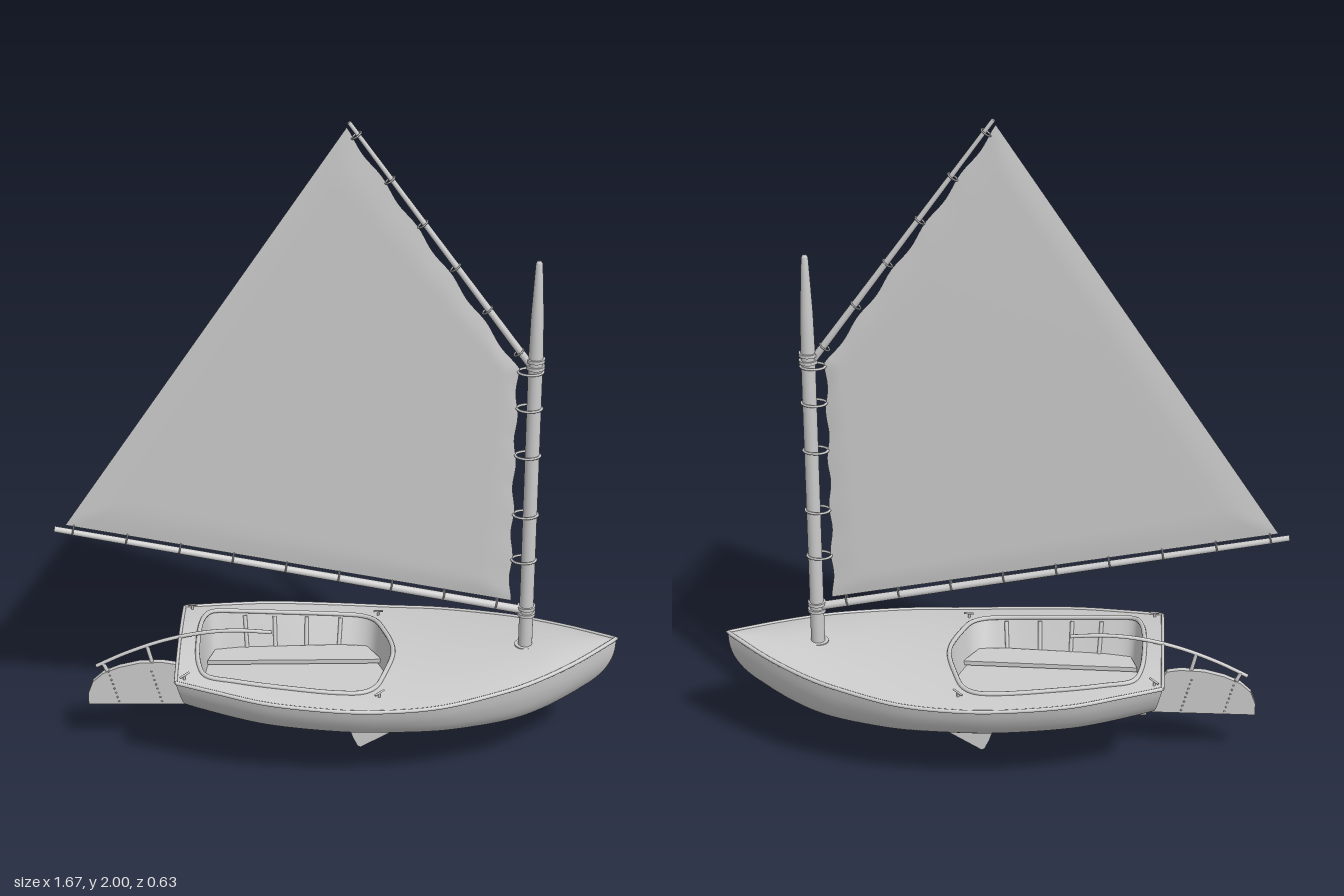
import * as THREE from 'three';

const V2 = (x, y) => new THREE.Vector2(x, y);
const V3 = (x, y, z) => new THREE.Vector3(x, y, z);
const clamp = THREE.MathUtils.clamp;
const material = new THREE.MeshStandardMaterial({ color: 0xcccccc, side: THREE.DoubleSide });

// Hull stations: x, half beam, sheer height, keel height
const stations = [
  [-0.475, 0.222, 0.355, 0.205], [-0.35, 0.258, 0.343, 0.185], [-0.2, 0.295, 0.328, 0.163],
  [0, 0.31, 0.314, 0.147], [0.15, 0.305, 0.31, 0.142], [0.3, 0.287, 0.315, 0.138],
  [0.45, 0.24, 0.327, 0.137], [0.57, 0.188, 0.339, 0.14], [0.7, 0.105, 0.356, 0.147], [0.83, 0, 0.378, 0.15],
];
const plan = new THREE.SplineCurve(stations.map((s) => V2(s[0], s[1])));
const heights = new THREE.SplineCurve(stations.map((s) => V2(s[2], s[3])));
// Cross-section from keel to gunwale (half beam, height fractions)
const section = new THREE.SplineCurve(
  [[0, 0], [0.35, 0.03], [0.66, 0.2], [0.84, 0.42], [0.95, 0.72], [1, 1]].map((p) => V2(...p)));

function hullPoint(t, v) {
  const p = plan.getPoint(t), h = heights.getPoint(t), s = section.getPoint(v);
  const drop = Math.max(0, 1 - s.y);
  const bow = clamp((p.x - 0.3) / 0.53, 0, 1);
  const x = p.x + 0.03 * drop * Math.max(0, 1 - t * 8) - 0.2 * bow * bow * Math.pow(drop, 2.5);
  return V3(x, h.y + (h.x - h.y) * s.y, Math.max(0, p.y) * s.x);
}

// Height of the crowned deck at a point
function deckY(x, z) {
  let a = 0, b = 1;
  for (let i = 0; i < 24; i++) {
    const m = (a + b) / 2;
    if (plan.getPoint(m).x < x) a = m; else b = m;
  }
  const half = Math.max(plan.getPoint(a).y, 0.001);
  return heights.getPoint(a).x + 0.022 * Math.min(1, half / 0.15) * Math.max(0, 1 - (z / half) ** 2);
}

// Grid surface from a rule fn(u, v) -> Vector3
function surface(nu, nv, fn) {
  const pos = [], idx = [];
  for (let i = 0; i <= nu; i++) for (let j = 0; j <= nv; j++) pos.push(...fn(i / nu, j / nv).toArray());
  for (let i = 0; i < nu; i++) for (let j = 0; j < nv; j++) {
    const a = i * (nv + 1) + j, b = a + nv + 1;
    idx.push(a, b, a + 1, b, b + 1, a + 1);
  }
  const g = new THREE.BufferGeometry();
  g.setAttribute('position', new THREE.Float32BufferAttribute(pos, 3));
  g.setIndex(idx);
  g.computeVertexNormals();
  return g;
}

// Flat board in the x-y plane, centred on z = 0
function board(points, thickness) {
  const g = new THREE.ExtrudeGeometry(new THREE.Shape(points.map((p) => V2(...p))), { depth: thickness, bevelEnabled: false });
  return g.translate(0, 0, -thickness / 2);
}

const tube = (points, r, n = 40, closed = false) =>
  new THREE.TubeGeometry(new THREE.CatmullRomCurve3(points, closed), n, r, 8, closed);

export function createModel() {
  const root = new THREE.Group();
  const add = (name, geometry, parent = root) => {
    const m = new THREE.Mesh(geometry, material);
    m.name = name;
    parent.add(m);
    return m;
  };
  const rod = (name, a, b, r0, r1, parent = root) => {
    const m = add(name, new THREE.CylinderGeometry(r1, r0, a.distanceTo(b), 14), parent);
    m.position.copy(a).lerp(b, 0.5);
    m.quaternion.setFromUnitVectors(V3(0, 1, 0), b.clone().sub(a).normalize());
    return m;
  };
  const group = (name) => {
    const g = new THREE.Group();
    g.name = name;
    root.add(g);
    return g;
  };

  // Hull skin and transom
  add('hull', surface(60, 48, (t, w) => {
    const s = w * 2 - 1, p = hullPoint(t, Math.abs(s));
    return V3(p.x, p.y, s < 0 ? -p.z : p.z);
  }));
  add('transom', surface(16, 20, (v, w) => {
    const p = hullPoint(0, v), s = w * 2 - 1;
    return V3(p.x, p.y + 0.022 * v ** 4 * (1 - s * s), p.z * s);
  }));

  // Cockpit opening outline
  const halfOpening = [[-0.42, 0], [-0.41, 0.14], [-0.388, 0.188], [-0.3, 0.205], [-0.15, 0.22],
    [0, 0.229], [0.07, 0.223], [0.107, 0.198], [0.135, 0.13], [0.163, 0]];
  const opening = new THREE.CatmullRomCurve3([
    ...halfOpening.map(([x, z]) => V3(x, 0, z)),
    ...halfOpening.slice(1, -1).reverse().map(([x, z]) => V3(x, 0, -z)),
  ], true);
  const rim = opening.getPoints(160);
  const centreX = -0.13;
  const rimToward = (p) => {
    const dx = p.x - centreX, dz = p.z;
    for (let i = 0; i < 160; i++) {
      const a = rim[i], b = rim[i + 1];
      const ca = dx * a.z - dz * (a.x - centreX), cb = dx * b.z - dz * (b.x - centreX);
      if (ca * cb <= 0 && ca !== cb && dx * (a.x - centreX) + dz * a.z > 0) return a.clone().lerp(b, ca / (ca - cb));
    }
    return rim[0].clone();
  };

  // Deck between the opening and the gunwale
  const side = Array.from({ length: 61 }, (_, i) => hullPoint(i / 60, 1));
  const mirrored = side.map((p) => V3(p.x, p.y, -p.z)).reverse();
  const stern = Array.from({ length: 17 }, (_, i) => V3(-0.475, 0.355, side[0].z * (i / 8 - 1)));
  const outline = [...side, ...mirrored.slice(1), ...stern.slice(1)];
  const inner = outline.map(rimToward);
  add('deck', surface(outline.length - 1, 14, (u, v) => {
    const i = Math.round(u * (outline.length - 1));
    const p = inner[i].clone().lerp(outline[i], v);
    p.y = deckY(p.x, p.z);
    return p;
  }));
  add('gunwale', tube([...side, ...mirrored.slice(1)], 0.006, 160));
  add('transomCap', tube(stern.map((p) => V3(p.x, deckY(p.x, p.z), p.z)), 0.005, 30));

  // Cockpit: coaming, lining, floor, benches and ribs
  const cockpit = group('cockpit');
  add('coaming', tube(rim.slice(0, -1).map((p) => V3(p.x, deckY(p.x, p.z) + 0.003, p.z)), 0.007, 160, true), cockpit);
  const liningPoint = (p, v) => V3(
    centreX + (p.x - centreX) * (1 - 0.05 * v),
    THREE.MathUtils.lerp(deckY(p.x, p.z), 0.222, v), p.z * (1 - 0.2 * v));
  add('lining', surface(160, 4, (u, v) => liningPoint(rim[Math.round(u * 160)], v)), cockpit);
  const floorShape = new THREE.Shape(rim.slice(0, -1).map((p) => liningPoint(p, 1)).map((p) => V2(p.x, p.z)));
  add('floor', new THREE.ShapeGeometry(floorShape).rotateX(Math.PI / 2).translate(0, 0.222, 0), cockpit);
  for (const s of [1, -1]) {
    const bench = board([[-0.4, 0.088], [0.13, 0.1], [0.085, 0.18], [0, 0.187], [-0.3, 0.17], [-0.38, 0.155]]
      .map(([x, z]) => [x, z * s]), 0.014);
    add('bench', bench.rotateX(Math.PI / 2).translate(0, 0.236, 0), cockpit);
    for (const x of [-0.3, -0.2, -0.1, 0]) {
      const p = rimToward(V3(x, 0, 0.22 * s));
      rod('rib', liningPoint(p, 0.08), liningPoint(p, 0.95), 0.006, 0.006, cockpit);
    }
  }

  // Deck cleats
  for (const s of [1, -1]) for (const [x, z] of [[-0.45, 0.205], [0.12, 0.237]]) {
    const y = deckY(x, z), cleat = group('cleat');
    rod('cleatPost', V3(x, y - 0.004, z * s), V3(x, y + 0.012, z * s), 0.004, 0.004, cleat);
    rod('cleatBar', V3(x - 0.012, y + 0.009, (z + 0.008) * s), V3(x + 0.014, y + 0.019, (z - 0.008) * s), 0.003, 0.003, cleat);
  }

  // Keel and centreboard
  add('keel', board([[-0.43, 0.138], [-0.45, 0.21], [-0.3, 0.195], [0.1, 0.16], [0.46, 0.145], [0.4, 0.134], [0.1, 0.136]], 0.022));
  add('centreboard', board([[0.02, 0.16], [0.02, 0.125], [0.03, 0.075], [0.043, 0.035], [0.058, 0.004],
    [0.067, 0], [0.29, 0.132], [0.29, 0.16]], 0.03));

  // Rudder with rivet rows, and tiller
  const rudder = group('rudder');
  add('rudderBlade', board([[-0.448, 0.148], [-0.757, 0.148], [-0.757, 0.185], [-0.742, 0.225], [-0.71, 0.255],
    [-0.66, 0.277], [-0.6, 0.292], [-0.53, 0.295], [-0.49, 0.288], [-0.476, 0.268]], 0.018), rudder);
  for (const x of [-0.665, -0.535]) for (let i = 0; i < 8; i++) for (const s of [1, -1]) {
    const rivet = add('rivet', new THREE.SphereGeometry(0.003, 6, 4), rudder);
    rivet.position.set(x - i * 0.004, 0.158 + i * 0.015, 0.009 * s);
  }
  for (const y of [0.22, 0.27]) rod('hinge', V3(-0.49, y, 0), V3(-0.455, y, 0), 0.006, 0.006, rudder);
  add('tiller', tube([V3(-0.73, 0.277, 0), V3(-0.64, 0.322, 0), V3(-0.52, 0.368, 0), V3(-0.4, 0.395, 0),
    V3(-0.3, 0.402, 0), V3(-0.2, 0.396, 0)], 0.006), rudder);
  rod('tillerPost', V3(-0.695, 0.255, 0), V3(-0.71, 0.288, 0), 0.006, 0.006, rudder);
  rod('tillerPost', V3(-0.56, 0.285, 0), V3(-0.575, 0.348, 0), 0.006, 0.006, rudder);

  // Mast with collars and sail hoops
  const mastX = 0.558;
  const mast = group('mast');
  mast.position.x = mastX;
  add('mastPole', new THREE.LatheGeometry([[0, 0.2], [0.021, 0.2], [0.021, 1.3], [0.0185, 1.42], [0.013, 1.53],
    [0.01, 1.585], [0.006, 1.592], [0, 1.592]].map((p) => V2(...p)), 20), mast);
  for (const [y, r, h] of [[0.352, 0.032, 0.016], [0.465, 0.027, 0.01], [0.487, 0.027, 0.01], [1.27, 0.027, 0.01], [1.292, 0.027, 0.01]])
    add('mastCollar', new THREE.CylinderGeometry(r, r, h, 20), mast).position.y = y;
  for (const y of [0.647, 0.797, 0.99, 1.14, 1.255]) {
    const hoop = add('sailHoop', new THREE.TorusGeometry(0.036, 0.004, 6, 24).rotateX(Math.PI / 2), mast);
    hoop.position.set(-0.013, y, 0);
    hoop.scale.z = 0.75;
  }

  // Boom and gaff with lacing rings
  const spars = [
    ['boom', V3(0.55, 0.476, 0), V3(-0.833, 0.744, 0), 0.013, 0.009, 9, 0.008],
    ['gaff', V3(0.54, 1.28, 0), V3(0.028, 1.996, 0), 0.011, 0.006, 6, -0.008],
  ];
  for (const [name, a, b, r0, r1, rings, offset] of spars) {
    rod(name, a, b, r0, r1);
    const dir = b.clone().sub(a).normalize();
    for (let i = 0; i < rings; i++) {
      const ring = add('lacing', new THREE.TorusGeometry(0.016, 0.0025, 6, 16));
      ring.position.copy(a).lerp(b, 0.06 + 0.9 * i / (rings - 1));
      ring.position.y += offset;
      ring.quaternion.setFromUnitVectors(V3(0, 0, 1), dir);
    }
  }

  // Sail: two faces meeting at thin, slightly scalloped edges
  const tack = V3(0.512, 0.508, 0), clew = V3(-0.8, 0.757, 0), peak = V3(0.022, 1.982, 0), throat = V3(0.513, 1.265, 0);
  const sail = group('sail');
  for (const s of [1, -1]) add('sailFace', surface(50, 50, (u, v) => {
    const p = tack.clone().lerp(clew, u).lerp(throat.clone().lerp(peak, u), v);
    const luff = Math.sin(v * Math.PI * 5) ** 2 * Math.max(0, 1 - u / 0.12);
    const head = Math.sin(u * Math.PI * 5) ** 2 * Math.max(0, 1 - (1 - v) / 0.12);
    p.x -= 0.008 * luff + 0.006 * head;
    p.y -= 0.005 * head;
    const edge = clamp(Math.min(u, 1 - u, v, 1 - v) / 0.08, 0, 1);
    p.z = s * (0.0005 + 0.007 * Math.sin(edge * Math.PI / 2));
    return p;
  }), sail);

  return root;
}
